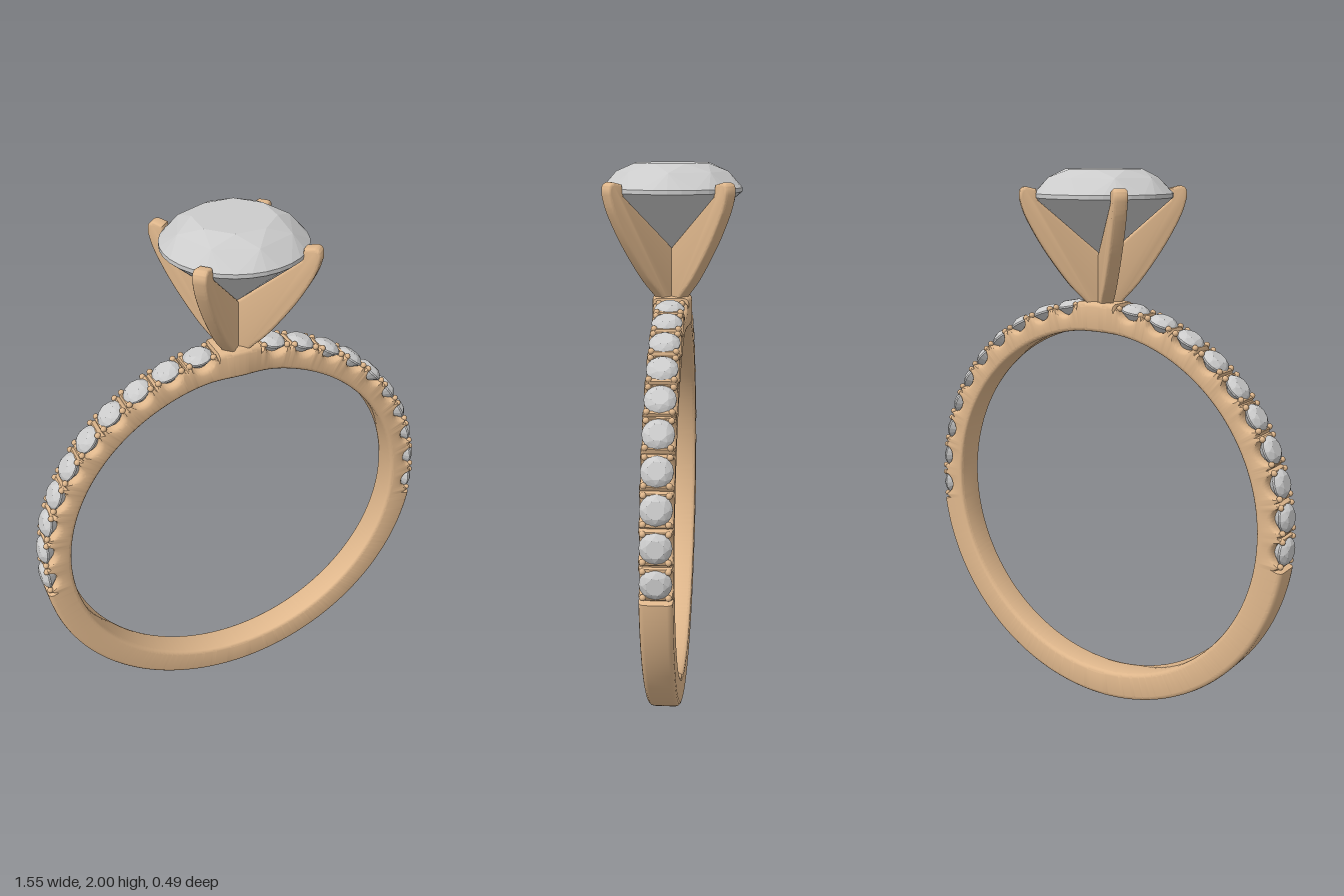
import * as THREE from 'three';
import { toCreasedNormals } from 'three/addons/utils/BufferGeometryUtils.js';
import { ConvexGeometry } from 'three/addons/geometries/ConvexGeometry.js';

const CENTRE_Y = 0.77, INNER = 0.664, OUTER = 0.77;
const DEG = Math.PI / 180;
const gold = new THREE.MeshStandardMaterial({ color: 0xdfb78c });
const grey = new THREE.MeshStandardMaterial({ color: 0xcccccc, flatShading: true });

// Ten small stones climb each side, measured from the horizontal
const STEP = 9.1, FIRST = -2.5, COUNT = 10;
const stoneAngles = Array.from({ length: COUNT }, (_, k) => FIRST + k * STEP);

// Outer radius of the band: plain below and at the top, scalloped under the stones
function outerRadius(a) {
  let deg = Math.asin(Math.sin(a)) / DEG; // same on both sides
  if (deg < FIRST - STEP / 2 - 0.4 || deg > 84) return OUTER;
  let r = 0.76;
  const k = Math.min(COUNT - 1, Math.max(0, Math.round((deg - FIRST) / STEP)));
  const s = Math.abs(deg - stoneAngles[k]) * DEG * 0.76;
  if (s < 0.043) r -= 0.036 * Math.sqrt(1 - (s / 0.043) ** 2);
  const split = Math.abs(s - STEP * DEG * 0.38);
  if (split < 0.007) r -= 0.014 * (1 - split / 0.007);
  return r;
}

// Rounded rectangular section swept round the finger, a little wider at the head
function bandGeometry() {
  const N = 960, Q = 3, pos = [], index = [];
  const M = 4 * (Q + 1);
  for (let i = 0; i < N; i++) {
    const a = (i / N) * Math.PI * 2, R = outerRadius(a);
    const x = Math.cos(a) * OUTER;
    const hw = 0.055 + (Math.sin(a) > 0 ? 0.016 * Math.exp(-((x / 0.1) ** 2)) : 0);
    const corners = [[R, -1, -90, 0.018], [R, 1, 0, 0.018], [INNER, 1, 90, 0.014], [INNER, -1, 180, 0.014]];
    corners.forEach(([r, side, start, c], n) => {
      const cr = n < 2 ? r - c : r + c, cz = side * (hw - c);
      for (let q = 0; q <= Q; q++) {
        const t = (start + (q / Q) * 90) * DEG;
        const rr = cr + c * Math.cos(t), z = cz + c * Math.sin(t);
        pos.push(Math.cos(a) * rr, CENTRE_Y + Math.sin(a) * rr, z);
      }
    });
  }
  for (let i = 0; i < N; i++) for (let j = 0; j < M; j++) {
    const i2 = (i + 1) % N, j2 = (j + 1) % M;
    const p = i * M + j, q = i2 * M + j, s = i2 * M + j2, t = i * M + j2;
    index.push(p, q, t, q, s, t);
  }
  const g = new THREE.BufferGeometry();
  g.setAttribute('position', new THREE.Float32BufferAttribute(pos, 3));
  g.setIndex(index);
  return toCreasedNormals(g, 0.6);
}

// Round brilliant: table, star ring, girdle and culet, girdle centred on y = 0
function brilliant(radius, crown, depth, girdle, sides) {
  const pts = [new THREE.Vector3(0, -depth, 0)];
  const ring = (n, r, y, turn) => {
    for (let i = 0; i < n; i++) {
      const t = ((i + turn) / n) * Math.PI * 2;
      pts.push(new THREE.Vector3(r * Math.cos(t), y, r * Math.sin(t)));
    }
  };
  ring(8, radius * 0.56, crown, 0.5);
  ring(8, radius * 0.8, crown * 0.68, 0);
  ring(sides, radius, girdle, 0);
  ring(sides, radius, -girdle, 0);
  return new ConvexGeometry(pts);
}

// Web-like claw in (radius, height), hugging the underside of the main stone
function clawGeometry() {
  const b = 0.01, w = 0.05;
  const s = new THREE.Shape();
  s.moveTo(0, 1.5);
  s.lineTo(0.025, 1.5);
  s.splineThru([[0.06, 1.545], [0.125, 1.615], [0.21, 1.735], [0.268, 1.84], [0.288, 1.9]]
    .map(([x, y]) => new THREE.Vector2(x, y)));
  s.lineTo(0.288, 1.92);
  s.quadraticCurveTo(0.286, 1.931, 0.275, 1.931);
  s.lineTo(0.25, 1.925);
  s.lineTo(0.244, 1.888);
  s.lineTo(0, 1.68);
  const g = new THREE.ExtrudeGeometry(s, {
    depth: w - 2 * b, bevelEnabled: true, bevelThickness: b, bevelSize: b, bevelSegments: 3, curveSegments: 10,
  });
  g.translate(0, 0, -(w / 2 - b));
  return toCreasedNormals(g, 0.6);
}

export function createModel() {
  const model = new THREE.Group();
  model.name = 'ring';
  const add = (parent, name, geometry, material) => {
    const m = new THREE.Mesh(geometry, material);
    m.name = name;
    parent.add(m);
    return m;
  };

  add(model, 'band', bandGeometry(), gold);

  // Small stones with four bead prongs each, mirrored left and right
  const smallStone = brilliant(0.053, 0.023, 0.052, 0.003, 16);
  const bead = new THREE.SphereGeometry(0.011, 10, 8);
  for (const side of [1, -1]) for (const deg of stoneAngles) {
    const a = side > 0 ? deg * DEG : Math.PI - deg * DEG;
    const setting = new THREE.Group();
    setting.name = side > 0 ? 'leftSetting' : 'rightSetting';
    setting.position.set(Math.cos(a) * 0.752, CENTRE_Y + Math.sin(a) * 0.752, 0);
    setting.rotation.z = a - Math.PI / 2;
    add(setting, 'smallStone', smallStone, grey);
    for (const u of [-1, 1]) for (const v of [-1, 1]) {
      add(setting, 'beadProng', bead, gold).position.set(u * 0.045, 0.004, v * 0.041);
    }
    model.add(setting);
  }

  // Head: main stone held by four diagonal claws
  const head = new THREE.Group();
  head.name = 'head';
  add(head, 'mainStone', brilliant(0.246, 0.09, 0.22, 0.007, 32), grey).position.y = 1.91;
  const claw = clawGeometry();
  for (let i = 0; i < 4; i++) {
    add(head, 'claw', claw, gold).rotation.y = Math.PI / 4 + (i * Math.PI) / 2;
  }
  model.add(head);
  return model;
}
